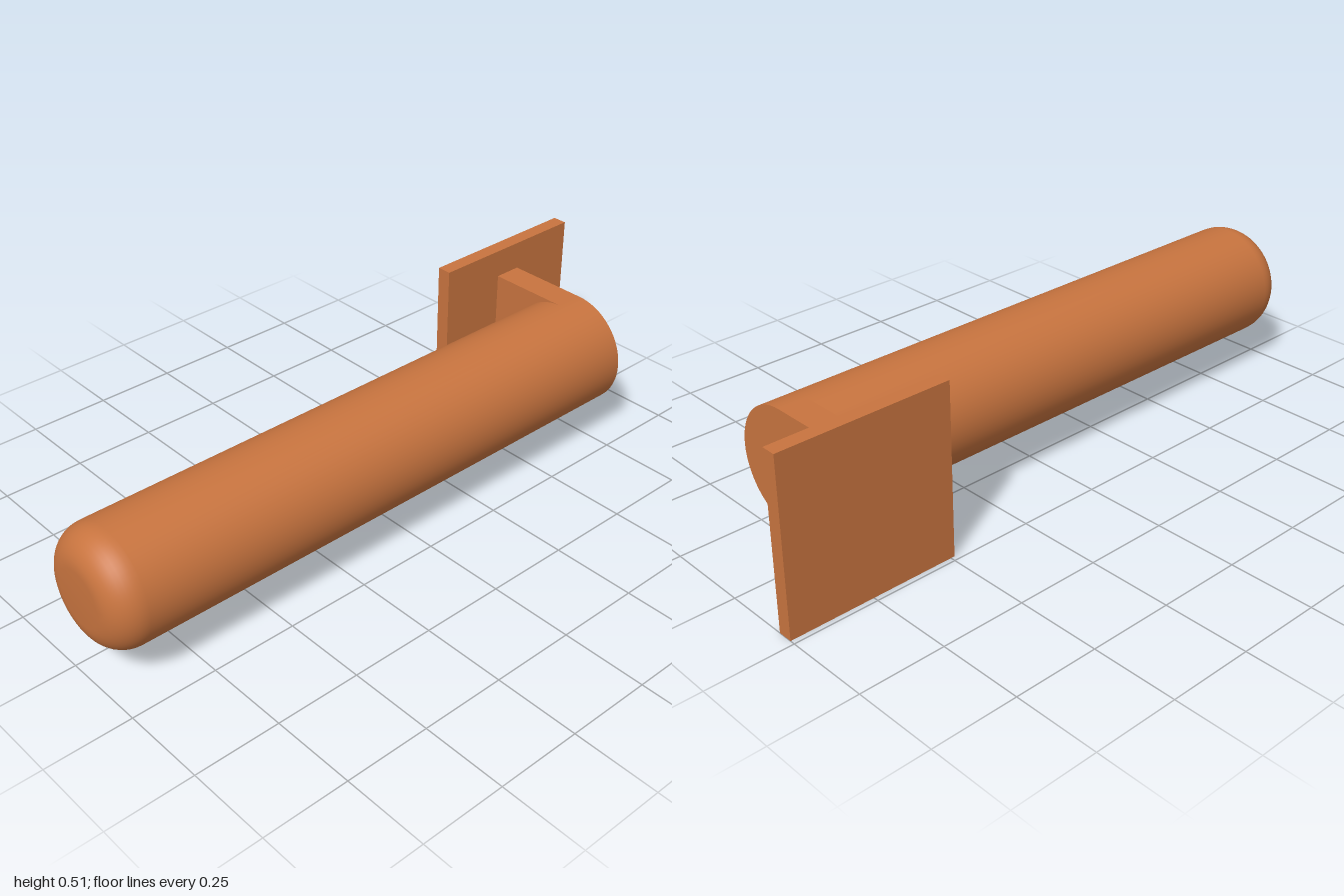
import * as THREE from 'three';
import { toCreasedNormals } from 'three/addons/utils/BufferGeometryUtils.js';

export function createModel() {
  const model = new THREE.Group();
  model.name = 'doorHandle';
  const material = new THREE.MeshStandardMaterial({ color: 0xc8743f });

  const add = (name, geometry, x, y, z) => {
    const mesh = new THREE.Mesh(geometry, material);
    mesh.name = name;
    mesh.position.set(x, y, z);
    model.add(mesh);
  };

  const centreX = 0.063, centreY = 0.256;
  const radius = 0.17, round = 0.09;
  const backZ = -0.787, frontZ = 1;
  const plateFace = -0.192;

  // Round grip: flat at the back, rounded over at the free end
  const profile = [new THREE.Vector2(0, backZ), new THREE.Vector2(radius, backZ)];
  const steps = 10;
  for (let i = 0; i <= steps; i++) {
    const a = (i / steps) * Math.PI / 2;
    profile.push(new THREE.Vector2(
      radius - round + round * Math.cos(a),
      frontZ - round + round * Math.sin(a)));
  }
  profile.push(new THREE.Vector2(0, frontZ));
  const grip = new THREE.LatheGeometry(profile, 64).rotateX(Math.PI / 2);
  add('grip', toCreasedNormals(grip, 0.6), centreX, centreY, 0);

  // Flat neck, as tall as the grip, reaching from the plate to the grip's axis
  const neckWidth = centreX - plateFace, neckDepth = 0.085;
  add('neck', new THREE.BoxGeometry(neckWidth, radius * 2, neckDepth),
    plateFace + neckWidth / 2, centreY, backZ + neckDepth / 2);

  // Square mounting plate
  add('mountingPlate', new THREE.BoxGeometry(0.043, 0.512, 0.512),
    plateFace - 0.0215, centreY, -0.744);

  return model;
}
